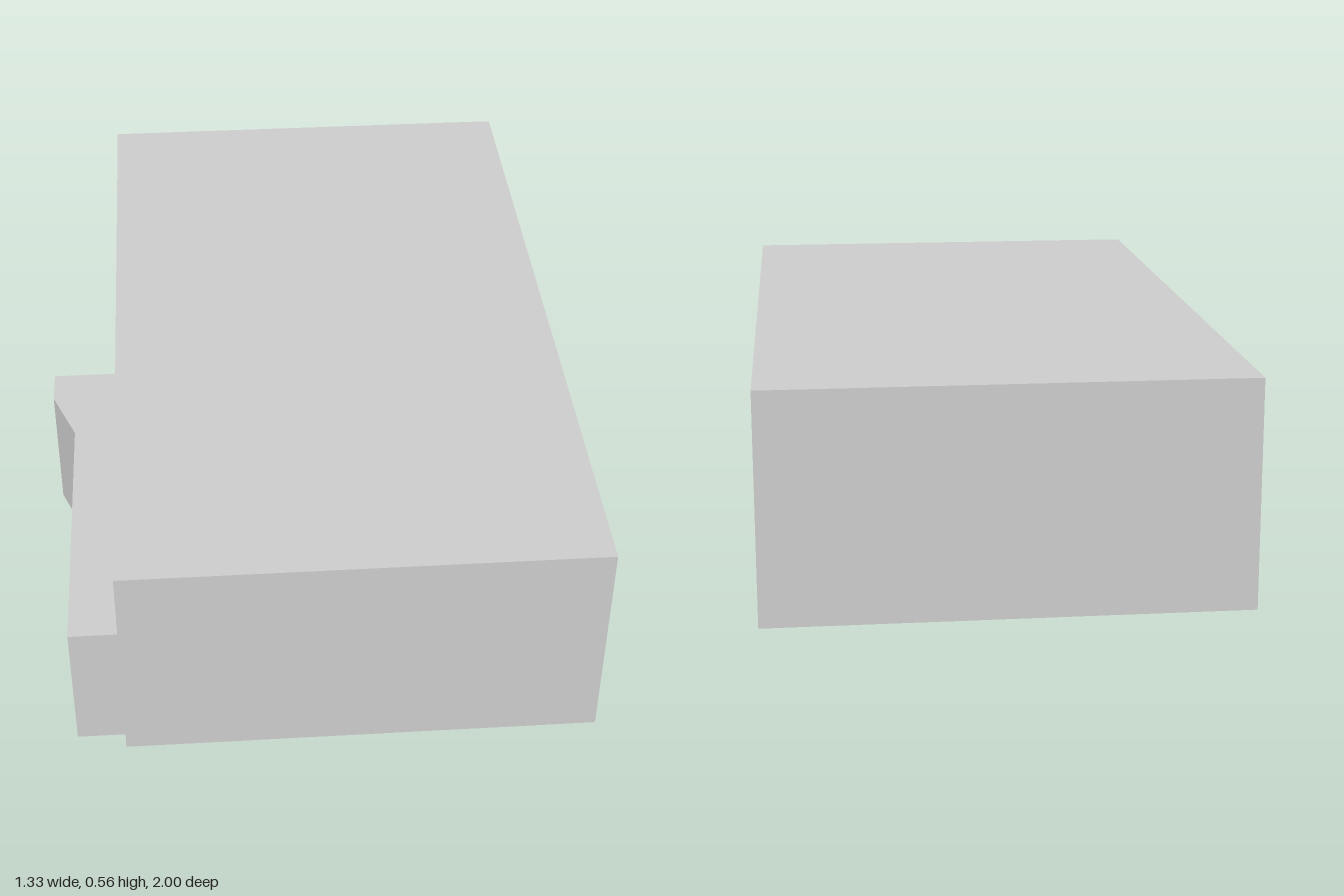
import * as THREE from 'three';

const T = 0.01; // sheet thickness

export function createModel() {
  const model = new THREE.Group();
  const mat = new THREE.MeshStandardMaterial({ color: 0xcccccc, flatShading: true, side: THREE.DoubleSide });

  const add = (name, geometry) => {
    const mesh = new THREE.Mesh(geometry, mat);
    mesh.name = name;
    model.add(mesh);
    return mesh;
  };

  // Box given by its minimum and maximum corners
  const box = (name, [x0, y0, z0], [x1, y1, z1]) =>
    add(name, new THREE.BoxGeometry(x1 - x0, y1 - y0, z1 - z0))
      .position.set((x0 + x1) / 2, (y0 + y1) / 2, (z0 + z1) / 2);

  const polygon = (points) => points.map(([a, b]) => new THREE.Vector2(a, b));
  const rect = (a0, b0, a1, b1) => new THREE.Shape(polygon([[a0, b0], [a1, b0], [a1, b1], [a0, b1]]));
  const circle = (a, b, r) => new THREE.Path().absarc(a, b, r, 0, Math.PI * 2, true);

  // Sheet drawn in (z, y), its outer face at the given x
  const sideSheet = (name, shape, x) => {
    const g = new THREE.ExtrudeGeometry(shape, { depth: T, bevelEnabled: false, curveSegments: 10 });
    g.rotateY(-Math.PI / 2);
    add(name, g).position.x = x;
  };

  // Two stacked windows joined by a narrow neck, with small end tabs
  const slot = (z) => {
    const half = [[0.03, 0.018], [0.03, 0.035], [0.043, 0.035], [0.051, 0.045], [0.051, 0.19],
      [0.043, 0.2], [0.03, 0.2], [0.03, 0.235], [0.043, 0.235], [0.051, 0.245],
      [0.051, 0.39], [0.043, 0.4], [0.03, 0.4], [0.03, 0.418]];
    const left = half.map(([a, b]) => [z - a, b]);
    const right = half.map(([a, b]) => [z + a, b]).reverse();
    return new THREE.Path(polygon([...left, ...right]));
  };

  // Housing, open at the bottom
  const H = 0.555, L = -0.49, R = 0.665;
  box('topPanel', [L, H - T, -1], [R, H, 1]);
  box('frontWall', [L, 0, 1 - T], [R, H - T, 1]);
  box('backWall', [L, 0, -1], [R, H - T, -1 + T]);
  box('rightWall', [L, 0, -1 + T], [L + T, H - T, 1 - T]);
  const wall = rect(-1 + T, 0, 1 - T, H - T);
  wall.holes.push(slot(-0.127));
  sideSheet('slottedWall', wall, R);

  // Side duct with a flared rear end, drawn in (x, z)
  const d0 = 0.045, d1 = 0.385;
  const outline = [[L, 0], [-0.665, 0], [-0.665, 0.1], [-0.605, 0.25], [-0.605, 1], [L, 1]];
  for (const [name, y] of [['ductFloor', d0 + T], ['ductRoof', d1]]) {
    const g = new THREE.ExtrudeGeometry(new THREE.Shape(polygon(outline)), { depth: T, bevelEnabled: false });
    g.rotateX(Math.PI / 2);
    add(name, g).position.y = y;
  }
  for (let i = 1; i < outline.length - 1; i++) {
    const [x0, z0] = outline[i], [x1, z1] = outline[i + 1];
    const g = new THREE.PlaneGeometry(Math.hypot(x1 - x0, z1 - z0), d1 - d0);
    g.rotateY(Math.atan2(z0 - z1, x1 - x0));
    add('ductSide', g).position.set((x0 + x1) / 2, (d0 + d1) / 2, (z0 + z1) / 2);
  }

  // Rear duct face with two round ports
  const ports = rect(-0.665, d0, L, d1);
  for (const y of [0.13, 0.3]) ports.holes.push(circle(-0.578, y, 0.065));
  add('portPlate', new THREE.ExtrudeGeometry(ports, { depth: T, bevelEnabled: false, curveSegments: 24 }));

  // Partition behind the slot: tall part and low extension
  box('partition', [0.08, 0, -0.19], [R - T, H - T, -0.18]);
  box('lowPartition', [-0.22, 0, -0.19], [0.08, 0.28, -0.18]);

  // Row of parallel baffles
  for (let i = 1; i < 9; i++) {
    const z = -0.18 + i * 0.1125;
    box('baffle', [-0.22, 0.02, z - T / 2], [0.5, 0.28, z + T / 2]);
  }

  // Inner slotted panel carrying the baffles
  const carrier = rect(-0.18, 0, 0.82, 0.44);
  for (let i = 0; i < 4; i++) carrier.holes.push(slot(-0.06 + i * 0.23));
  sideSheet('carrierPanel', carrier, 0.51);

  // Front cross wall with a round hole near the slotted wall
  const cross = rect(L + T, 0, R - T, 0.37);
  cross.holes.push(circle(0.58, 0.08, 0.025));
  add('crossWall', new THREE.ExtrudeGeometry(cross, { depth: T, bevelEnabled: false })).position.z = 0.82;

  // Perforated plate beside the duct
  const plate = rect(0.05, 0, 0.82, 0.366);
  for (let i = 0; i < 16; i++)
    for (const y of [0.12, 0.24]) plate.holes.push(circle(0.1 + i * 0.045, y, 0.006));
  sideSheet('perforatedPlate', plate, -0.46);

  return model;
}
